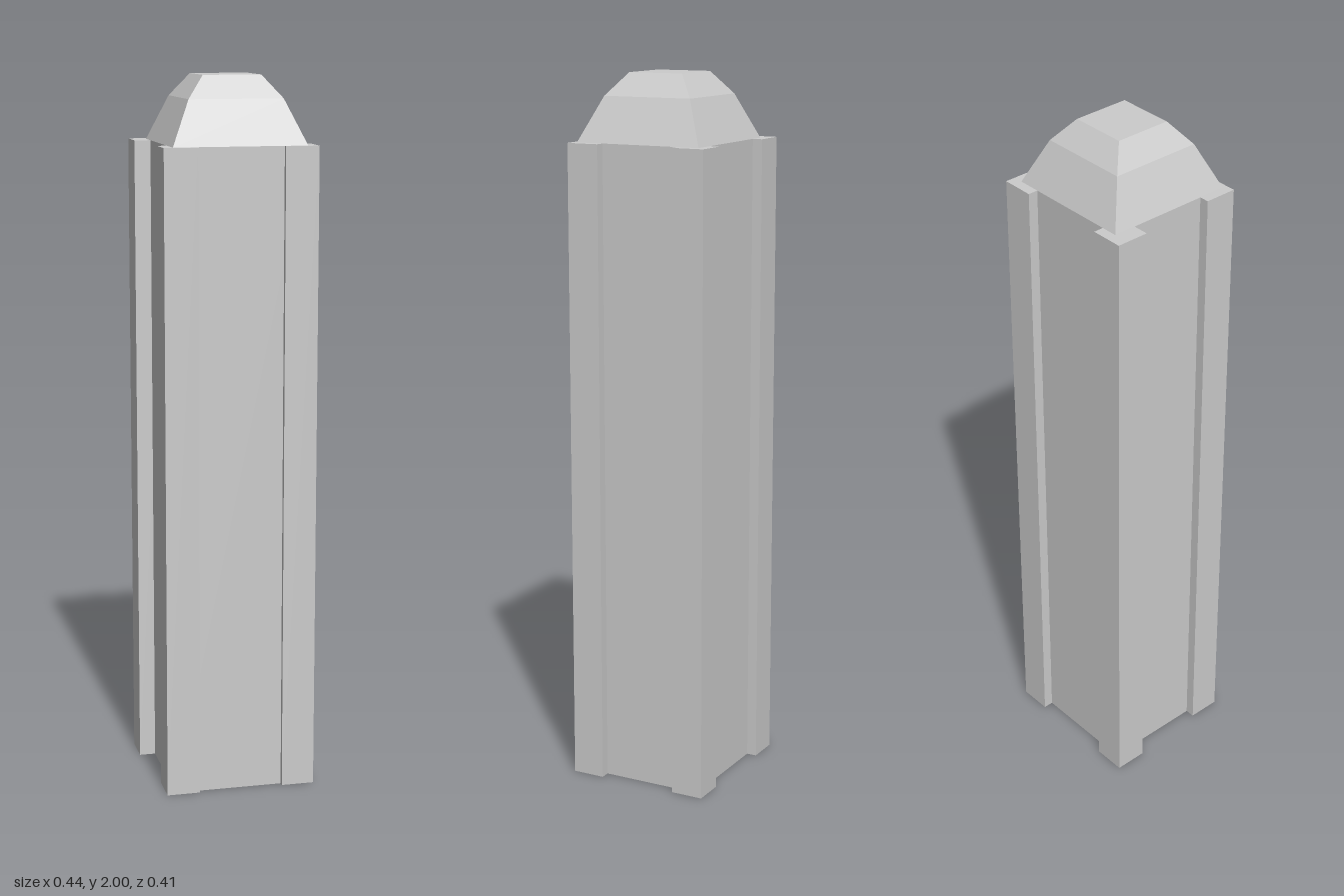
import * as THREE from 'three';

const WALL_H = 1.815;
const CX = 0.008, CZ = 0.006; // centre of the shaft and cap

export function createModel() {
  const model = new THREE.Group();
  const mat = new THREE.MeshStandardMaterial({ color: 0xcccccc, flatShading: true });

  function add(name, geometry, x, y, z, parent = model) {
    const mesh = new THREE.Mesh(geometry, mat);
    mesh.name = name;
    mesh.position.set(x, y, z);
    parent.add(mesh);
  }

  // Square shaft
  add('shaft', new THREE.BoxGeometry(0.371, WALL_H, 0.371), CX, WALL_H / 2, CZ);

  // Corner pillars, slightly uneven in plan
  const pillars = [
    ['backRightPillar', -0.1765, -0.1615],
    ['backLeftPillar', 0.175, -0.1615],
    ['frontRightPillar', -0.1585, 0.1585],
    ['frontLeftPillar', 0.175, 0.1585],
  ];
  for (const [name, x, z] of pillars) {
    add(name, new THREE.BoxGeometry(0.093, WALL_H, 0.093), x, WALL_H / 2, z);
  }

  // Stepped-slope cap: two square frustums, [half width, height] per level
  const cap = new THREE.Group();
  cap.name = 'cap';
  model.add(cap);
  const levels = [[0.1855, WALL_H], [0.131, 1.938], [0.081, 2]];
  for (let i = 0; i < 2; i++) {
    const [r0, y0] = levels[i], [r1, y1] = levels[i + 1];
    const geo = new THREE.CylinderGeometry(r1 * Math.SQRT2, r0 * Math.SQRT2, y1 - y0, 4, 1, i === 0);
    geo.rotateY(Math.PI / 4);
    add(i ? 'upperCap' : 'lowerCap', geo, CX, (y0 + y1) / 2, CZ, cap);
  }

  return model;
}
